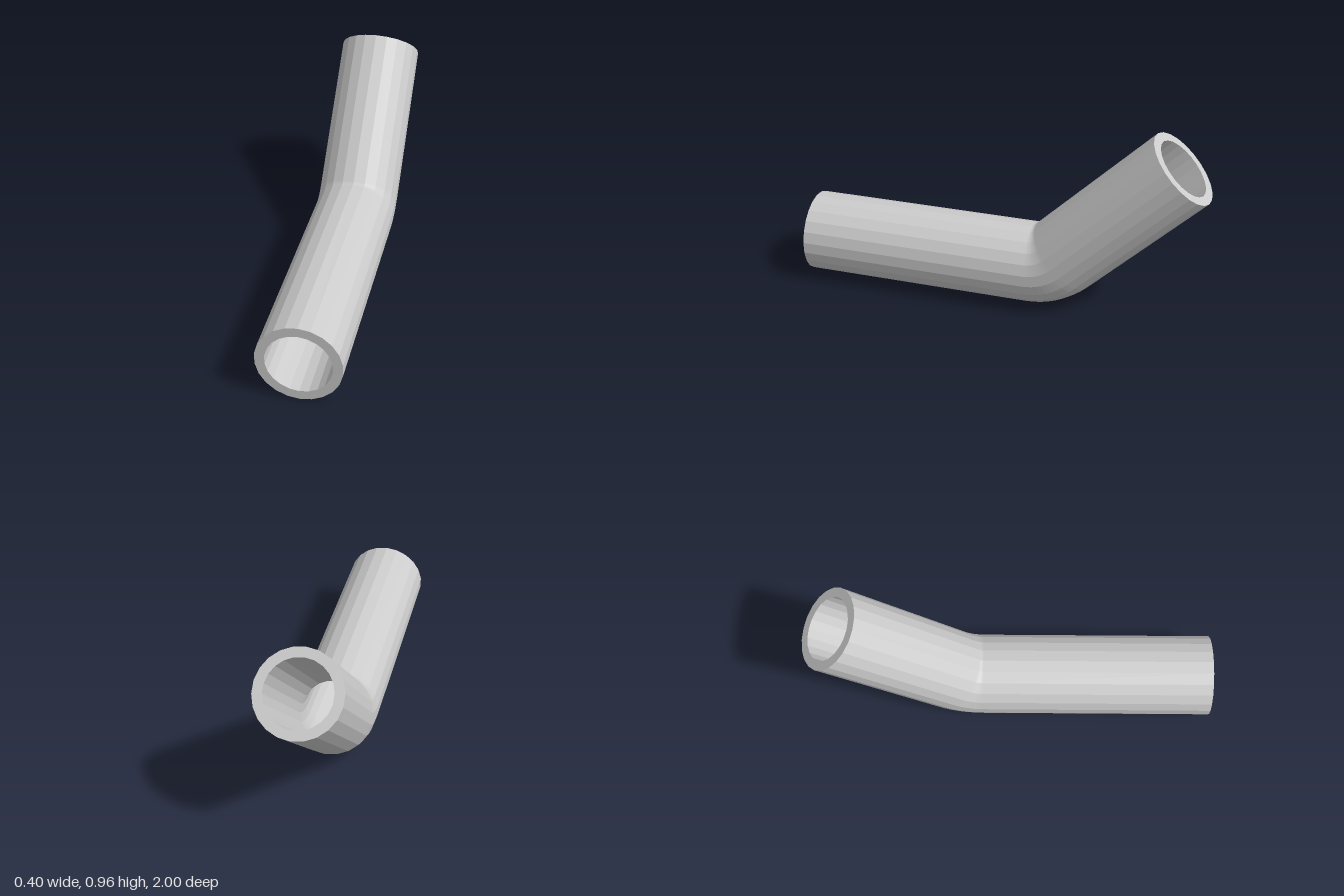
import * as THREE from 'three';

const SIDES = 22, BEND_STEPS = 8;
const OUTER = 0.201, INNER = 0.155;
const BEND = Math.PI / 4, BEND_RADIUS = 0.23;
const AXIS_Y = 0.202, END_Y = 0.822, END_Z = -0.858;

// Centre line stations: straight run, circular elbow, rising run
function pipeStations() {
  const cornerZ = END_Z + (END_Y - AXIS_Y) / Math.tan(BEND);
  const startZ = cornerZ + BEND_RADIUS * Math.tan(BEND / 2);
  const stations = [{ y: AXIS_Y, z: 1, tilt: 0 }];
  for (let i = 0; i <= BEND_STEPS; i++) {
    const tilt = BEND * i / BEND_STEPS;
    stations.push({
      y: AXIS_Y + BEND_RADIUS * (1 - Math.cos(tilt)),
      z: startZ - BEND_RADIUS * Math.sin(tilt),
      tilt,
    });
  }
  stations.push({ y: END_Y, z: END_Z, tilt: BEND });
  return stations;
}

// Rings run along the outside, back through the bore, and close at the start
function pipeGeometry() {
  const stations = pipeStations();
  const rings = [
    ...stations.map((s) => ({ ...s, r: OUTER })),
    ...stations.slice().reverse().map((s) => ({ ...s, r: INNER })),
  ];
  const positions = [], indices = [];
  rings.forEach(({ y, z, tilt, r }, i) => {
    const next = (i + 1) % rings.length;
    for (let j = 0; j < SIDES; j++) {
      const a = 2 * Math.PI * j / SIDES;
      const up = r * Math.cos(a);
      positions.push(r * Math.sin(a), y + up * Math.cos(tilt), z + up * Math.sin(tilt));
      const k = (j + 1) % SIDES;
      const p = i * SIDES + j, q = i * SIDES + k;
      const s = next * SIDES + j, t = next * SIDES + k;
      indices.push(p, q, s, q, t, s);
    }
  });
  const geometry = new THREE.BufferGeometry();
  geometry.setAttribute('position', new THREE.Float32BufferAttribute(positions, 3));
  geometry.setIndex(indices);
  const flat = geometry.toNonIndexed();
  flat.computeVertexNormals();
  return flat;
}

export function createModel() {
  const group = new THREE.Group();
  group.name = 'bentPipe';
  const pipe = new THREE.Mesh(
    pipeGeometry(),
    new THREE.MeshStandardMaterial({ color: 0xcccccc, flatShading: true }),
  );
  pipe.name = 'pipe';
  group.add(pipe);
  return group;
}
